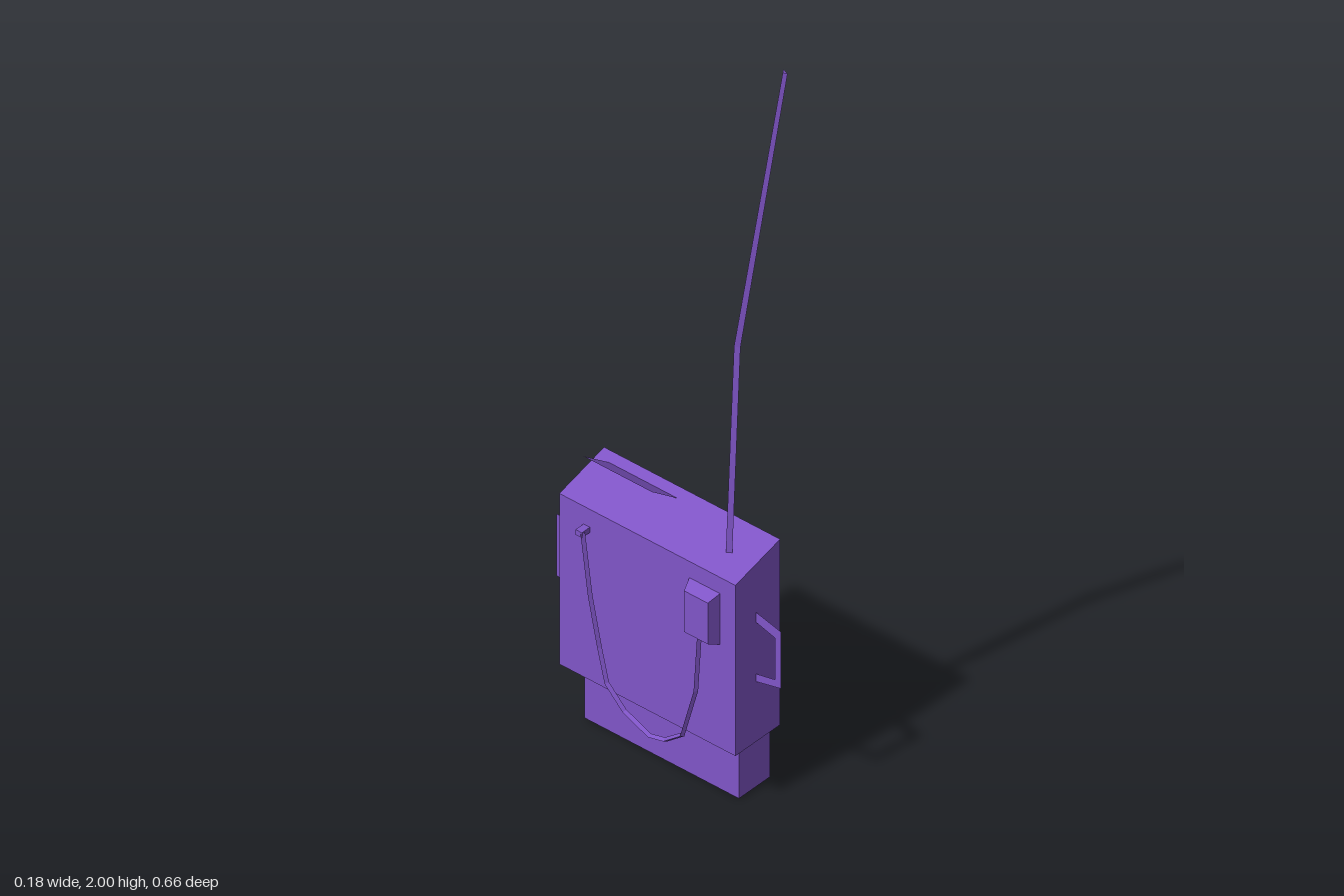
import * as THREE from 'three';

const material = new THREE.MeshStandardMaterial({ color: 0x8055c8, flatShading: true, side: THREE.DoubleSide });

function part(name, geometry) {
  const mesh = new THREE.Mesh(geometry, material);
  mesh.name = name;
  return mesh;
}

// Faceted solid through equal-length rings, counter-clockwise seen from the last ring's end
function loft(rings) {
  const pos = [];
  const tri = (a, b, c) => pos.push(...a, ...b, ...c);
  const n = rings[0].length;
  for (let r = 0; r + 1 < rings.length; r++) {
    for (let i = 0; i < n; i++) {
      const j = (i + 1) % n;
      const a = rings[r], b = rings[r + 1];
      tri(a[i], a[j], b[j]);
      tri(a[i], b[j], b[i]);
    }
  }
  const first = rings[0], last = rings[rings.length - 1];
  for (let i = 1; i + 1 < n; i++) {
    tri(first[0], first[i + 1], first[i]);
    tri(last[0], last[i], last[i + 1]);
  }
  const geometry = new THREE.BufferGeometry();
  geometry.setAttribute('position', new THREE.Float32BufferAttribute(pos, 3));
  geometry.computeVertexNormals();
  return geometry;
}

// Horizontal rectangle whose height may differ between its two x sides
const level = (x0, x1, z0, z1, y0, y1 = y0) => [[x0, y0, z1], [x1, y1, z1], [x1, y1, z0], [x0, y0, z0]];

// Upright rectangle facing -x
const plate = (x, y0, y1, z0, z1) => [[x, y0, z0], [x, y0, z1], [x, y1, z1], [x, y1, z0]];

// Flat bracket in the plane of z and y, given as [z, y] corners
function handle(name, outline) {
  const shape = new THREE.Shape(outline.map(([z, y]) => new THREE.Vector2(-z, y)));
  const geometry = new THREE.ShapeGeometry(shape);
  geometry.rotateY(Math.PI / 2);
  geometry.translate(0.008, 0, 0);
  return part(name, geometry);
}

export function createModel() {
  const model = new THREE.Group();
  model.name = 'backpackRadio';

  // Case with a narrower battery foot and a sloping top
  model.add(part('case', loft([
    level(-0.015, 0.087, -0.23, 0.205, 0),
    level(-0.015, 0.087, -0.23, 0.205, 0.13),
    level(-0.059, 0.087, -0.263, 0.233, 0.153),
    level(-0.059, 0.087, -0.263, 0.233, 0.61, 0.65),
  ])));

  // Raised lid on the top
  const lid = new THREE.PlaneGeometry(0.106, 0.194);
  lid.rotateX(-Math.PI / 2);
  lid.rotateZ(-Math.atan2(0.066, 0.085));
  lid.translate(0.0175, 0.676, -0.129);
  model.add(part('lid', lid));

  // Carrying handles at the front and back
  model.add(handle('frontHandle', [
    [0.233, 0.5], [0.304, 0.482], [0.304, 0.33], [0.233, 0.314],
    [0.233, 0.335], [0.287, 0.346], [0.287, 0.457], [0.233, 0.473],
  ]));
  model.add(handle('backHandle', [
    [-0.263, 0.489], [-0.329, 0.484], [-0.329, 0.319], [-0.263, 0.31],
    [-0.263, 0.333], [-0.309, 0.344], [-0.309, 0.463], [-0.263, 0.465],
  ]));

  // Bent three-sided whip antenna: centre x, y, z and scale per ring
  const whip = [[0.007, 0.625, 0.156, 1], [0.006, 1.19, 0.18, 1], [-0.005, 2, 0.325, 0.75]];
  model.add(part('antenna', loft(whip.map(([x, y, z, s]) =>
    [[-0.007, -0.001], [-0.001, 0.012], [0.007, -0.01]].map(([dx, dz]) => [x + dx * s, y, z + dz * s])))));

  // Handset box on the side
  model.add(part('handset', loft([
    plate(-0.058, 0.43, 0.567, 0.103, 0.19),
    plate(-0.09, 0.445, 0.555, 0.115, 0.182),
  ])));

  // Socket where the cord enters the case
  const socket = new THREE.BoxGeometry(0.027, 0.014, 0.018);
  socket.translate(-0.0715, 0.555, -0.186);
  model.add(part('socket', socket));

  // Hanging cord from socket to handset
  const path = [
    [-0.08, 0.558, -0.18], [-0.079, 0.4, -0.16], [-0.075, 0.27, -0.137], [-0.08, 0.19, -0.112],
    [-0.076, 0.135, -0.065], [-0.08, 0.108, 0.01], [-0.077, 0.115, 0.05], [-0.08, 0.155, 0.1],
    [-0.076, 0.29, 0.135], [-0.078, 0.45, 0.147],
  ];
  model.add(part('cord', loft(path.map(([x, y, z], i) => {
    const a = path[Math.max(i - 1, 0)], b = path[Math.min(i + 1, path.length - 1)];
    const length = Math.hypot(b[1] - a[1], b[2] - a[2]);
    const ty = (b[1] - a[1]) / length, tz = (b[2] - a[2]) / length;
    return [0, 1, 2].map((k) => {
      const angle = (k * 2 * Math.PI) / 3 + Math.PI;
      const u = 0.006 * Math.cos(angle), v = 0.006 * Math.sin(angle);
      return [x + u, y + v * tz, z - v * ty];
    });
  }))));

  return model;
}
